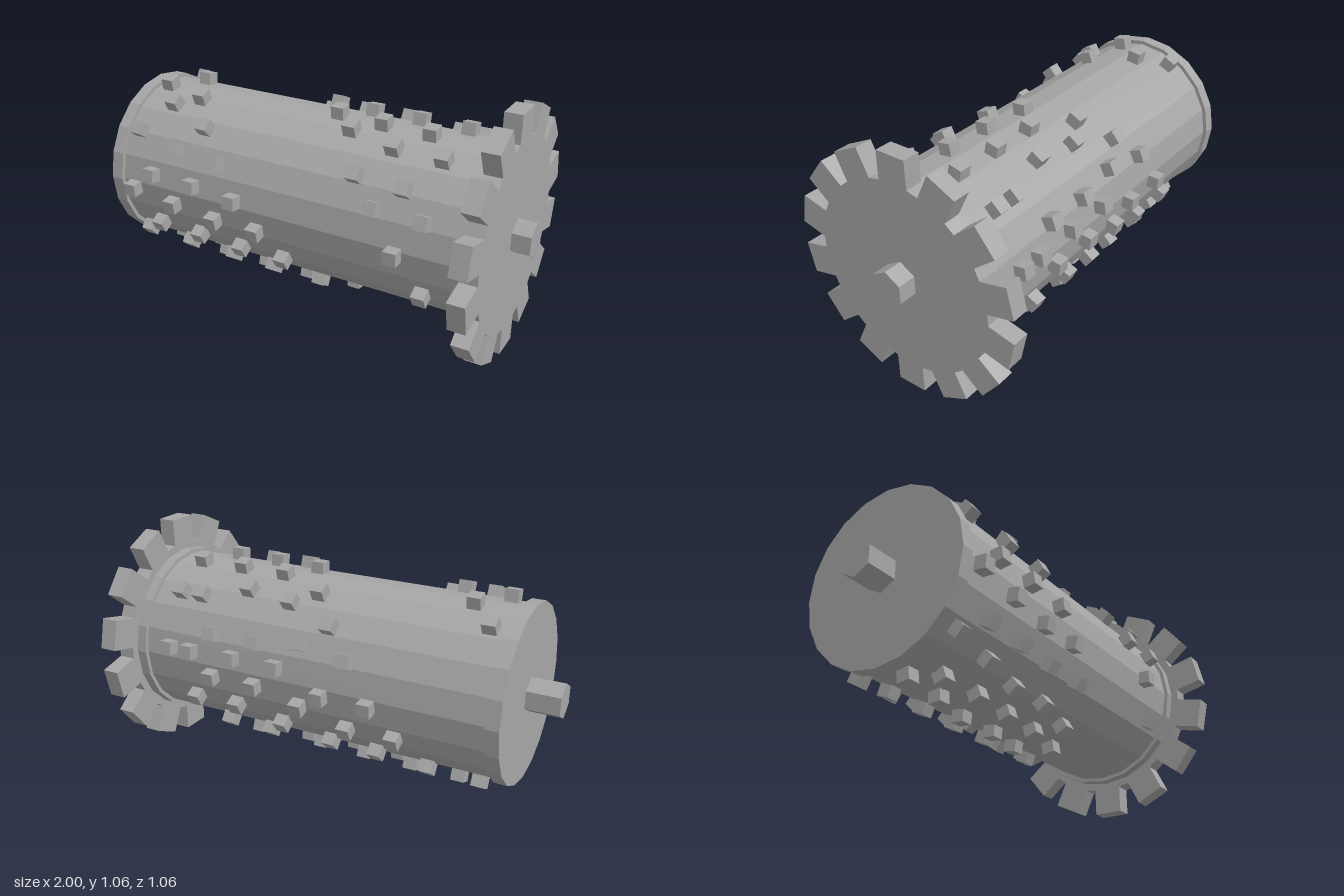
import * as THREE from 'three';

export function createModel() {
  const model = new THREE.Group();
  model.name = 'pinnedDrum';
  const grey = new THREE.MeshStandardMaterial({ color: 0xa6a6a6, flatShading: true });
  grey.name = 'plain grey';
  const AXIS_Y = 0.53;

  const add = (name, geometry, parent = model) => {
    const mesh = new THREE.Mesh(geometry, grey);
    mesh.name = name;
    parent.add(mesh);
    return mesh;
  };

  // Rotor: everything turns about the x axis
  const rotor = new THREE.Group();
  rotor.name = 'rotor';
  rotor.position.y = AXIS_Y;
  model.add(rotor);

  // Cylinder along x between two stations
  const barrel = (name, radius, x0, x1, sides, turn = 0) => {
    const g = new THREE.CylinderGeometry(radius, radius, x1 - x0, sides);
    g.rotateY(turn);
    g.rotateZ(Math.PI / 2);
    g.translate((x0 + x1) / 2, 0, 0);
    return add(name, g, rotor);
  };
  barrel('axle', 0.077, -1, 1, 6, Math.PI / 6);
  barrel('drum', 0.366, -0.81, 0.81, 20);
  barrel('rightRim', 0.383, -0.857, -0.8, 20);
  barrel('leftRim', 0.383, 0.8, 0.85, 20);

  // Gear: 14 straight-sided teeth, one pointing straight up
  const TEETH = 14, ROOT = 0.415, TIP = 0.53, HALF = 0.067;
  const rootDepth = Math.sqrt(ROOT * ROOT - HALF * HALF);
  const outline = [];
  for (let i = 0; i < TEETH; i++) {
    const a = (i / TEETH) * Math.PI * 2;
    for (const [u, v] of [[HALF, rootDepth], [HALF, TIP], [-HALF, TIP], [-HALF, rootDepth]]) {
      outline.push(new THREE.Vector2(
        u * Math.cos(a) - v * Math.sin(a),
        u * Math.sin(a) + v * Math.cos(a)));
    }
  }
  const gear = new THREE.ExtrudeGeometry(new THREE.Shape(outline), { depth: 0.075, bevelEnabled: false });
  gear.rotateY(Math.PI / 2);
  gear.translate(0.845, 0, 0);
  add('gear', gear, rotor);

  // Pins: angles in degrees from the front, rising over the top, one row per ring
  const rings = [
    [119, 79, 37, -4, -43, -83, -120],
    [100, 61, 9, -30, -71, -111],
    [71, 29, -9, -49, -87, -127],
    [48, 8, -31, -71, -112, -156],
    [26, -13, -55, -95, -135, -176],
    [5, -33, -73, -113, -155, -202],
    [-13, -55, -95, -135, -176, -221],
    [-33, -75, -113, -165, -207, -244],
    [-62, -101, -145, -189, -233, -274],
    [71, 103, 158, -82, -127, -173],
    [40, 83, 123, 171, -154, -113],
    [23, 63, 103, 158, -128, -173],
    [-2, 38, 82, 133, 172, -153],
    [-29, 22, 62, 103, 133, 172],
  ];
  const pinGeometry = new THREE.BoxGeometry(0.058, 0.058, 0.07);
  pinGeometry.translate(0, 0, 0.38);
  const pins = new THREE.Group();
  pins.name = 'pins';
  rotor.add(pins);
  rings.forEach((angles, i) => {
    for (const angle of angles) {
      const pin = add('pin', pinGeometry, pins);
      pin.position.x = -0.735 + i * 0.1077;
      pin.rotation.x = -THREE.MathUtils.degToRad(angle);
    }
  });

  return model;
}
